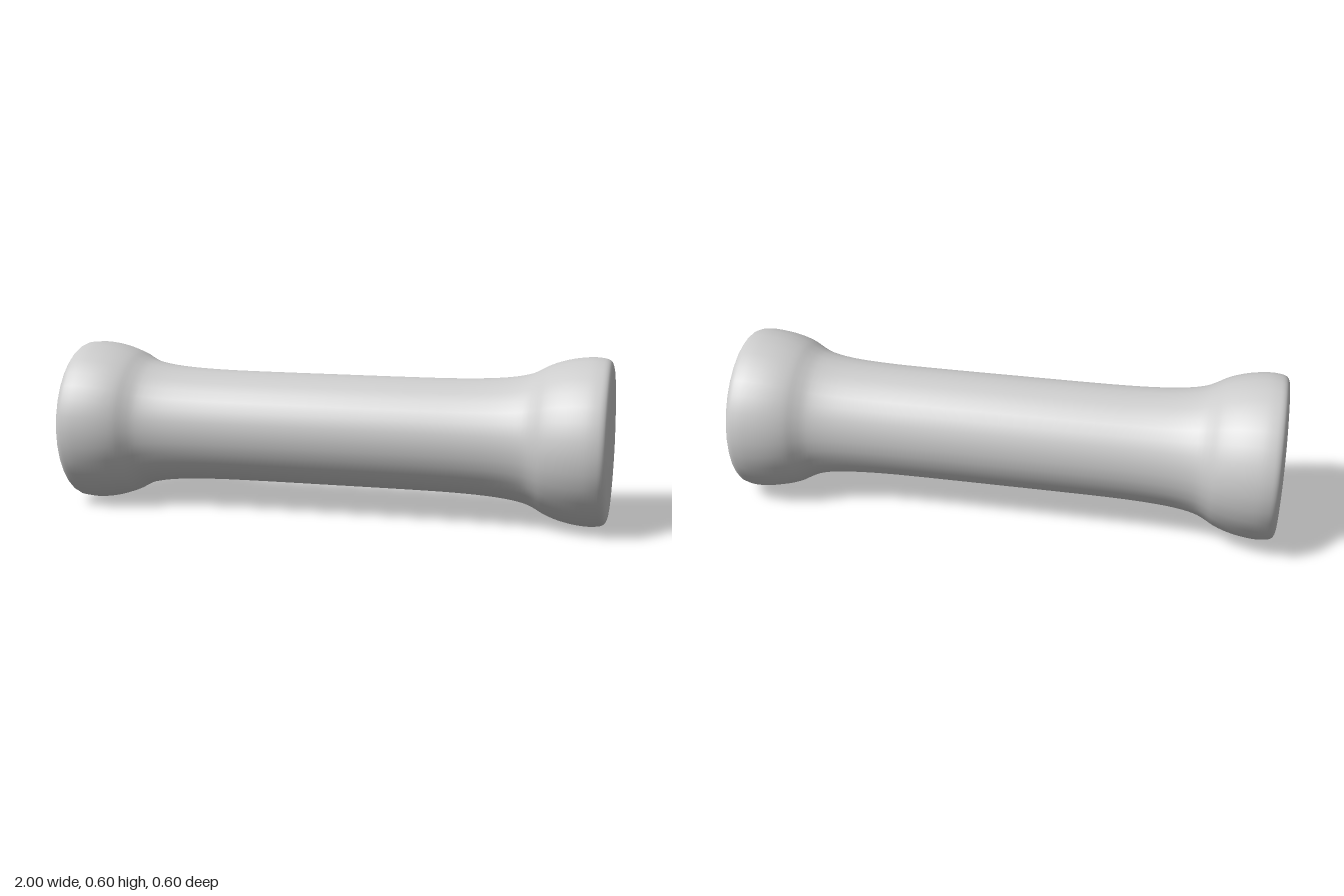
import * as THREE from 'three';

export function createModel() {
  const group = new THREE.Group();
  const material = new THREE.MeshStandardMaterial({ color: 0xcccccc });

  // Half profile as [radius, distance from the middle]
  const half = [
    [0.204, 0], [0.204, 0.2], [0.205, 0.4], [0.209, 0.53], [0.217, 0.63],
    [0.230, 0.70], [0.247, 0.74], [0.266, 0.775], [0.282, 0.82], [0.293, 0.87],
    [0.298, 0.92], [0.296, 0.955], [0.290, 0.977], [0.275, 0.989], [0.24, 0.995], [0.14, 1],
  ];
  const mirrored = half.slice(1).reverse().map(([r, d]) => [r, -d]);
  const curve = new THREE.SplineCurve([...mirrored, ...half].map(([r, d]) => new THREE.Vector2(r, d)));

  // Smooth shaft with flared, rounded ends, closed on the axis
  const profile = [new THREE.Vector2(0, -1), ...curve.getPoints(90), new THREE.Vector2(0, 1)];
  const geometry = new THREE.LatheGeometry(profile, 32);
  geometry.rotateZ(-Math.PI / 2);
  geometry.translate(0, 0.298, 0);

  const bar = new THREE.Mesh(geometry, material);
  bar.name = 'flaredBar';
  group.add(bar);
  return group;
}
